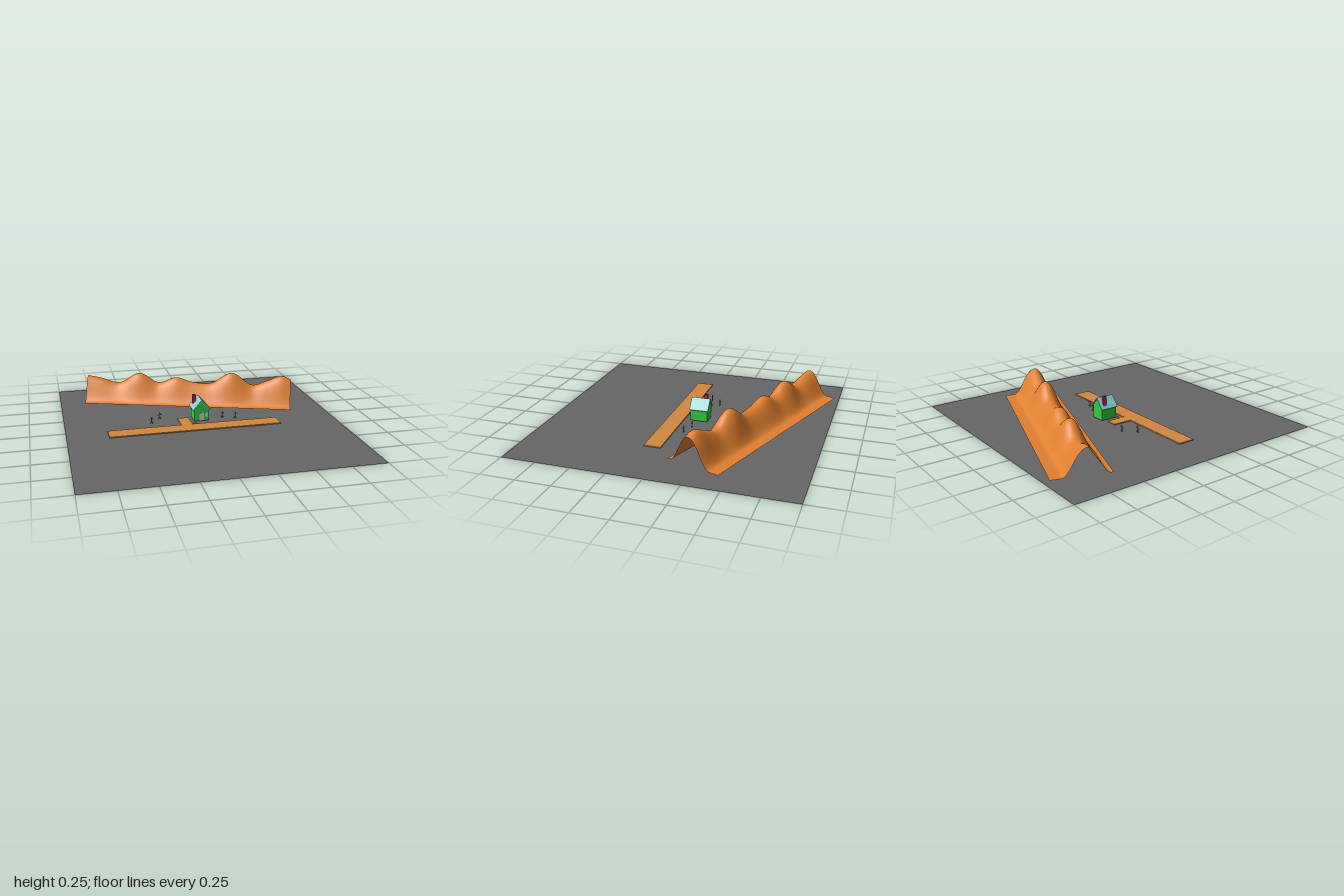
import * as THREE from 'three';

const mat = (color, double = false) =>
  new THREE.MeshStandardMaterial({ color, side: double ? THREE.DoubleSide : THREE.FrontSide });

function add(parent, name, geometry, material, x = 0, y = 0, z = 0) {
  const mesh = new THREE.Mesh(geometry, material);
  mesh.name = name;
  mesh.position.set(x, y, z);
  parent.add(mesh);
  return mesh;
}

// Open mountain strip: a bell-shaped section whose height follows the ridge line
function mountainGeometry() {
  const length = 1.622, width = 0.4;
  const ridge = new THREE.CatmullRomCurve3([
    [-0.811, 0.182], [-0.71, 0.165], [-0.56, 0.13], [-0.395, 0.213], [-0.24, 0.14], [-0.1, 0.185],
    [0.03, 0.15], [0.18, 0.145], [0.345, 0.235], [0.51, 0.14], [0.62, 0.175], [0.74, 0.22], [0.811, 0.195],
  ].map(([x, y]) => new THREE.Vector3(x, y, 0)));
  const line = ridge.getPoints(400);
  const heightAt = (x) => {
    const i = line.findIndex((p) => p.x >= x - 1e-6);
    if (i <= 0) return line[i < 0 ? line.length - 1 : 0].y;
    const a = line[i - 1], b = line[i];
    return a.y + ((b.y - a.y) * (x - a.x)) / (b.x - a.x);
  };
  const geo = new THREE.PlaneGeometry(length, width, 130, 40).rotateX(-Math.PI / 2);
  const pos = geo.attributes.position;
  const crest = 0.035, front = 0.18, back = -0.13;
  for (let i = 0; i < pos.count; i++) {
    const x = pos.getX(i), z = pos.getZ(i);
    const t = z > crest ? (z - crest) / (front - crest) : (crest - z) / (crest - back);
    const bell = t < 1 ? 0.5 + 0.5 * Math.cos(Math.PI * Math.pow(t, 1.1)) : 0;
    pos.setY(i, heightAt(x) * bell);
  }
  geo.computeVertexNormals();
  return geo;
}

function createHouse() {
  const house = new THREE.Group();
  house.name = 'house';
  const green = mat(0x33cc44), teal = mat(0x88d0d0), grey = mat(0xcccccc);

  // Walls with gables, extruded front to back
  const half = 0.055, eave = 0.105, apex = 0.168, depth = 0.125;
  const outline = new THREE.Shape([
    new THREE.Vector2(-half, 0.012), new THREE.Vector2(half, 0.012), new THREE.Vector2(half, eave),
    new THREE.Vector2(0, apex), new THREE.Vector2(-half, eave),
  ]);
  add(house, 'walls', new THREE.ExtrudeGeometry(outline, { depth, bevelEnabled: false }), green, 0, 0, -0.137);

  // Two roof slabs
  const slope = Math.atan2(apex - eave, half), run = 0.065;
  for (const side of [-1, 1]) {
    const slab = add(house, side < 0 ? 'rightRoof' : 'leftRoof',
      new THREE.BoxGeometry(run / Math.cos(slope), 0.006, 0.14), teal,
      (side * run) / 2, apex + 0.003 - (Math.tan(slope) * run) / 2, -0.075);
    slab.rotation.z = -side * slope;
  }

  // Door, window and doorstep
  add(house, 'door', new THREE.BoxGeometry(0.032, 0.06, 0.004), grey, 0, 0.042, -0.011);
  add(house, 'window', new THREE.BoxGeometry(0.022, 0.03, 0.004), grey, 0.037, 0.058, -0.011);

  // Hollow square chimney
  const shaft = new THREE.Shape([[-1, -1], [1, -1], [1, 1], [-1, 1]].map(([x, y]) => new THREE.Vector2(x * 0.011, y * 0.013)));
  shaft.holes.push(new THREE.Path([[-1, -1], [-1, 1], [1, 1], [1, -1]].map(([x, y]) => new THREE.Vector2(x * 0.006, y * 0.007))));
  const chimney = new THREE.ExtrudeGeometry(shaft, { depth: 0.085, bevelEnabled: false }).rotateX(-Math.PI / 2);
  add(house, 'chimney', chimney, mat(0xbb3344), -0.037, 0.105, -0.104);
  return house;
}

// Small stick figure
function createPerson() {
  const person = new THREE.Group();
  person.name = 'person';
  const grey = mat(0x777777);
  const limb = (name, from, to) => {
    const a = new THREE.Vector3(...from), b = new THREE.Vector3(...to);
    const mesh = add(person, name, new THREE.CylinderGeometry(0.0025, 0.0025, a.distanceTo(b), 8), grey);
    mesh.position.copy(a).add(b).multiplyScalar(0.5);
    mesh.quaternion.setFromUnitVectors(new THREE.Vector3(0, 1, 0), b.sub(a).normalize());
  };
  add(person, 'head', new THREE.SphereGeometry(0.006, 12, 8), grey, 0, 0.045, 0);
  limb('body', [0, 0.022, 0], [0, 0.042, 0]);
  for (const s of [-1, 1]) {
    limb('arm', [0, 0.036, 0], [s * 0.016, 0.032 + s * 0.004, 0]);
    limb('leg', [0, 0.023, 0], [s * 0.008, 0.002, 0]);
  }
  return person;
}

export function createModel() {
  const model = new THREE.Group();
  model.name = 'landscape';

  add(model, 'ground', new THREE.PlaneGeometry(2, 2).rotateX(-Math.PI / 2), mat(0x666666, true));

  const mountains = add(model, 'mountains', mountainGeometry(), mat(0xe08030, true), 0.0125, 0.02, -0.5175);
  mountains.rotation.y = -0.33;

  // Road, driveway and path to the door: [name, x0, x1, z0, z1]
  const paving = mat(0xd08840);
  for (const [name, x0, x1, z0, z1] of [
    ['road', -0.705, 0.56, 0.04, 0.163],
    ['driveway', -0.165, -0.083, -0.105, 0.04],
    ['path', -0.083, -0.045, 0.005, 0.028],
  ]) {
    add(model, name, new THREE.BoxGeometry(x1 - x0, 0.008, z1 - z0), paving, (x0 + x1) / 2, 0.008, (z0 + z1) / 2);
  }

  model.add(createHouse());

  for (const [x, z, turn] of [[-0.37, -0.055, 0.1], [-0.295, -0.137, -0.1], [0.17, -0.06, 0], [0.262, -0.025, -0.1]]) {
    const person = createPerson();
    person.position.set(x, 0.005, z);
    person.rotation.y = turn;
    model.add(person);
  }
  return model;
}
